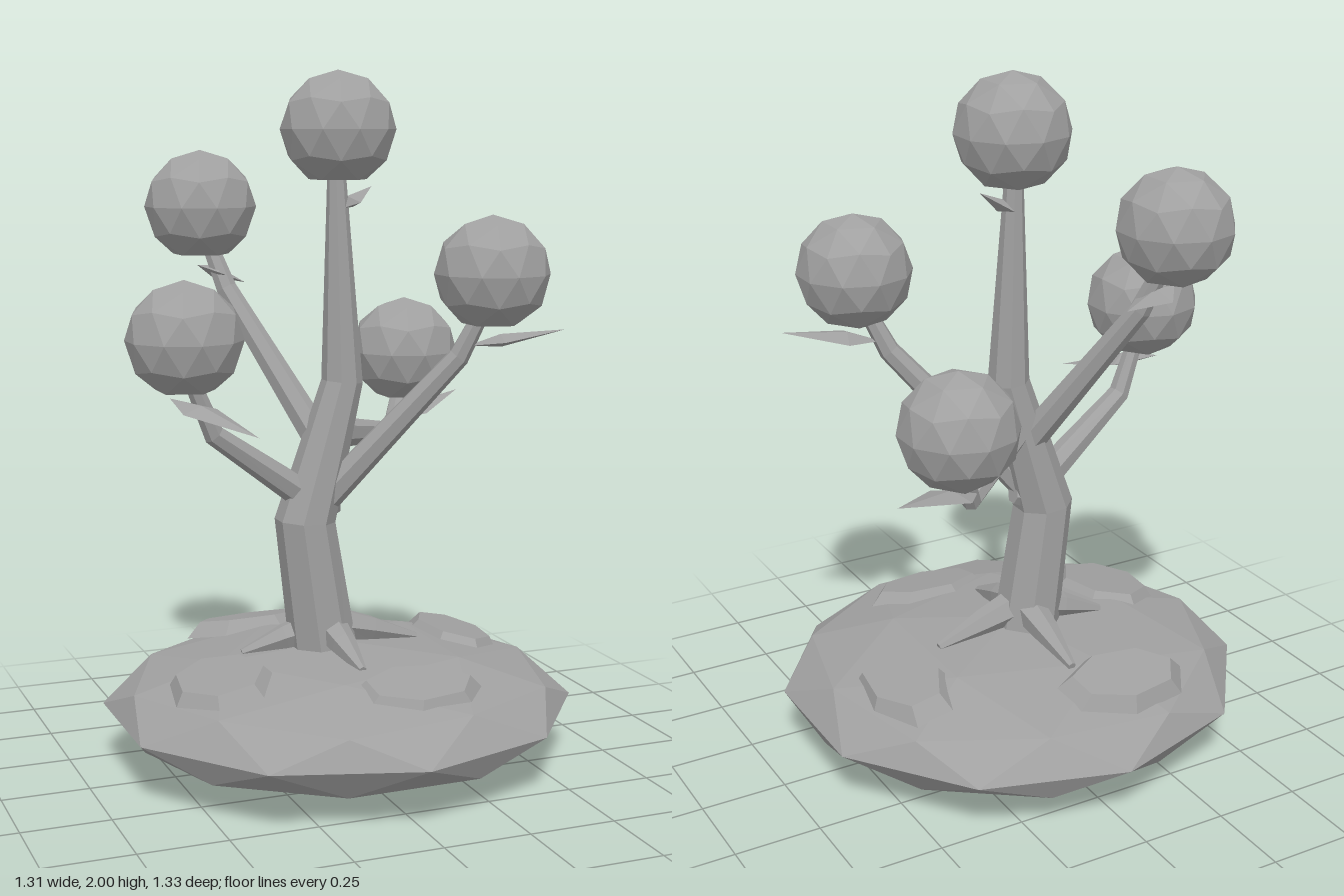
import * as THREE from 'three';

const V = (p) => new THREE.Vector3(...p);
const Y = new THREE.Vector3(0, 1, 0);

// Faceted ball with a vertex at each pole
function icoBall() {
  const g = new THREE.IcosahedronGeometry(1, 1);
  g.rotateZ(Math.atan(2 / (1 + Math.sqrt(5))));
  return g;
}

// Tapered limb lofted through points, capped at both ends
function limb(points, radii, sides = 8) {
  const pts = points.map(V), pos = [], idx = [], n = pts.length;
  pts.forEach((p, i) => {
    const a = pts[Math.max(i - 1, 0)], b = pts[Math.min(i + 1, n - 1)];
    const q = new THREE.Quaternion().setFromUnitVectors(Y, b.clone().sub(a).normalize());
    for (let k = 0; k < sides; k++) {
      const t = ((k + 0.5) / sides) * Math.PI * 2;
      const v = new THREE.Vector3(Math.cos(t), 0, -Math.sin(t)).multiplyScalar(radii[i]);
      pos.push(...v.applyQuaternion(q).add(p).toArray());
    }
  });
  for (let i = 0; i < n - 1; i++) {
    for (let k = 0; k < sides; k++) {
      const a = i * sides + k, b = i * sides + ((k + 1) % sides);
      idx.push(a, b, b + sides, a, b + sides, a + sides);
    }
  }
  const end = (n - 1) * sides;
  for (let k = 1; k < sides - 1; k++) {
    idx.push(0, k + 1, k, end, end + k, end + k + 1);
  }
  const g = new THREE.BufferGeometry();
  g.setAttribute('position', new THREE.Float32BufferAttribute(pos, 3));
  g.setIndex(idx);
  g.computeVertexNormals();
  return g;
}

// Thin pointed leaf from base to tip, widest past the base
function leaf(base, tip, width) {
  const a = V(base), b = V(tip), dir = b.clone().sub(a);
  const side = new THREE.Vector3().crossVectors(dir, Y).normalize();
  const up = new THREE.Vector3().crossVectors(side, dir).normalize();
  const mid = a.clone().addScaledVector(dir, 0.35);
  const at = (s, u) => mid.clone().addScaledVector(side, s).addScaledVector(up, u);
  const pts = [a, b, at(width / 2, 0), at(-width / 2, 0), at(0, 0.018), at(0, -0.018)];
  const g = new THREE.BufferGeometry();
  g.setAttribute('position', new THREE.Float32BufferAttribute(pts.flatMap((p) => p.toArray()), 3));
  g.setIndex([0, 2, 4, 2, 1, 4, 1, 3, 4, 3, 0, 4, 2, 0, 5, 1, 2, 5, 3, 1, 5, 0, 3, 5]);
  g.computeVertexNormals();
  return g;
}

export function createModel() {
  const model = new THREE.Group();
  const grey = new THREE.MeshStandardMaterial({ color: 0xa0a0a0, flatShading: true, side: THREE.DoubleSide });
  grey.name = 'stone grey';
  const add = (name, geometry) => {
    const m = new THREE.Mesh(geometry, grey);
    m.name = name;
    model.add(m);
    return m;
  };

  // Ground mound
  const mound = icoBall();
  mound.scale(0.69, 0.176, 0.667);
  mound.translate(0, 0.181, 0);
  add('groundMound', mound);

  // Flat slabs resting on the mound: position, half sizes, outward tilt
  const slabs = [
    [0.42, 0.305, -0.12, 0.13, 0.21, 0, -0.2],
    [0.09, 0.31, 0.38, 0.2, 0.13, 0.2, 0],
    [-0.4, 0.31, 0.12, 0.16, 0.19, 0.05, 0.18],
    [-0.13, 0.315, -0.42, 0.21, 0.13, -0.2, 0.03],
  ];
  slabs.forEach(([x, y, z, rx, rz, tx, tz], i) => {
    const g = new THREE.CylinderGeometry(0.78, 1, 0.045, 7);
    g.rotateY(i * 0.7);
    g.scale(rx, 1, rz);
    const m = add('groundSlab', g);
    m.position.set(x, y, z);
    m.rotation.set(tx, 0, tz);
  });

  // Trunk with its bends
  add('trunk', limb(
    [[-0.035, 0.3, -0.02], [-0.095, 0.72, -0.02], [0.02, 1.12, -0.02], [0.005, 1.72, -0.025]],
    [0.1, 0.088, 0.06, 0.026]));

  // Roots spreading over the mound
  [[0.26, -0.03], [-0.28, -0.05], [-0.02, 0.24], [-0.02, -0.32]].forEach(([x, z]) => {
    const mix = (t, y) => [-0.03 + (x + 0.03) * t, y, -0.02 + (z + 0.02) * t];
    add('root', limb([mix(0.15, 0.4), mix(0.5, 0.375), mix(1, 0.335)], [0.05, 0.038, 0.012], 6));
  });

  // Bent branches
  const branches = [
    [[-0.03, 0.92, -0.03], [-0.235, 1.37, -0.3], [-0.28, 1.53, -0.36]],
    [[-0.09, 0.79, -0.02], [-0.38, 0.995, 0.02], [-0.46, 1.18, 0.04]],
    [[-0.05, 0.77, -0.01], [0.3, 1.2, 0.17], [0.37, 1.36, 0.21]],
    [[0.0, 0.97, -0.03], [0.29, 0.915, -0.29], [0.355, 1.08, -0.36]],
  ];
  branches.forEach((b) => add('branch', limb(b, [0.046, 0.031, 0.022], 7)));

  // Small cut twig on the trunk
  add('twigStub', limb([[-0.06, 0.75, -0.02], [0.005, 0.765, -0.02]], [0.045, 0.028], 6));

  // Round crowns, dented where the branch enters
  const crown = icoBall();
  const p = crown.attributes.position;
  for (let i = 0; i < p.count; i++) if (p.getY(i) < -0.95) p.setY(i, -0.55);
  crown.scale(0.165, 0.165, 0.165);
  crown.computeVertexNormals();
  const crowns = [
    [0.012, 1.835, -0.03], [-0.29, 1.61, -0.375], [-0.467, 1.265, 0.04],
    [0.38, 1.435, 0.215], [0.365, 1.155, -0.37],
  ];
  crowns.forEach((c) => add('crown', crown).position.set(...c));

  // Leaves below the crowns
  add('leaf', leaf([0.01, 1.61, -0.02], [0.11, 1.675, -0.02], 0.16));
  add('leaf', leaf([-0.31, 1.44, -0.35], [-0.165, 1.385, -0.34], 0.16));
  add('leaf', leaf([-0.5, 1.1, 0.0], [-0.33, 1.02, 0.265], 0.14));
  add('leaf', leaf([0.32, 1.23, 0.18], [0.59, 1.275, 0.26], 0.14));
  add('leaf', leaf([0.27, 0.94, -0.3], [0.58, 1.01, -0.44], 0.14));

  return model;
}
